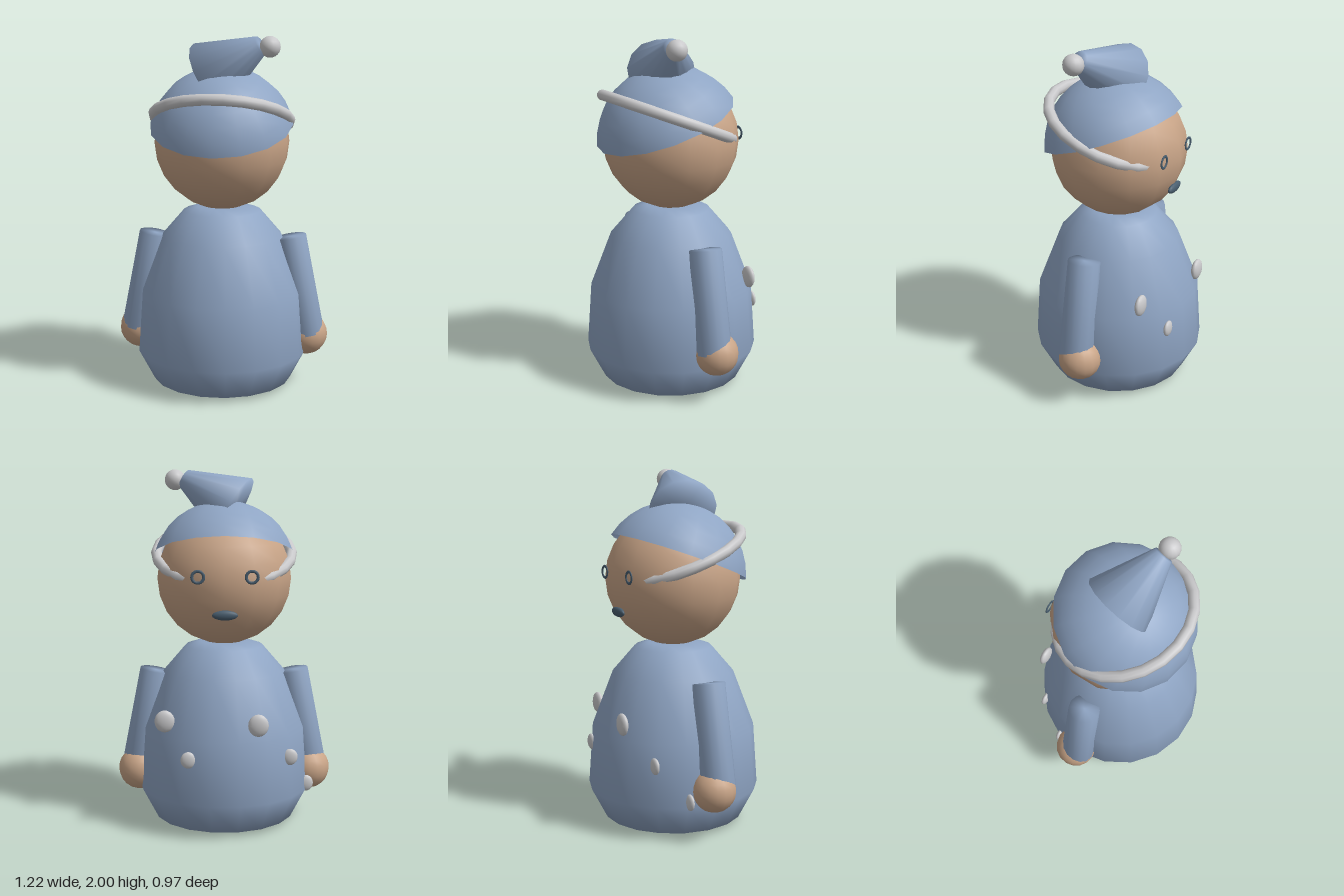
import * as THREE from 'three';

const material = (name, color, side = THREE.FrontSide) => {
  const m = new THREE.MeshStandardMaterial({ color, side });
  m.name = name;
  return m;
};

// Smooth turned solid from [radius, height] pairs, bottom to top
const turned = (profile, sides) =>
  new THREE.LatheGeometry(profile.map(([r, y]) => new THREE.Vector2(r, y)), sides);

export function createModel() {
  const model = new THREE.Group();
  model.name = 'nightcapFigure';
  const blue = material('dusty blue cloth', 0x8fa5c4, THREE.DoubleSide);
  const skin = material('tan skin', 0xc8a487);
  const grey = material('pale grey trim', 0xc9c9cb);
  const dark = material('dark slate', 0x485d6e);

  const add = (name, geometry, mat, pos = [0, 0, 0], scale = [1, 1, 1]) => {
    const mesh = new THREE.Mesh(geometry, mat);
    mesh.name = name;
    mesh.position.set(...pos);
    mesh.scale.set(...scale);
    model.add(mesh);
    return mesh;
  };
  // Tapered, softly shaded rod between two points
  const rod = (name, from, to, r0, r1, mat) => {
    const dir = new THREE.Vector3(...to).sub(new THREE.Vector3(...from));
    const len = dir.length();
    const mesh = add(name, turned([[0, 0], [r0, 0], [r1, len], [0, len]], 14), mat, from);
    mesh.quaternion.setFromUnitVectors(new THREE.Vector3(0, 1, 0), dir.normalize());
    return mesh;
  };

  // Robe: rounded bell
  const robe = add('robe', turned([[0, 0.026], [0.4, 0.026], [0.49, 0.2], [0.465, 0.55],
    [0.345, 0.865], [0.22, 1.01], [0.14, 1.035], [0, 1.04]], 18), blue);
  robe.rotation.y = Math.PI / 18;

  // Arms, hands, feet and eyes in mirrored pairs
  for (const [side, s] of [['left', 1], ['right', -1]]) {
    rod(side + 'Arm', [s * 0.494, 0.3, 0], [s * 0.392, 0.866, 0], 0.1, 0.09, blue);
    add(side + 'Hand', new THREE.SphereGeometry(0.122, 16, 12), skin, [s * 0.488, 0.29, -0.02]);
    add(side + 'Foot', new THREE.SphereGeometry(1, 18, 12), dark,
      [s * 0.18, 0.026, -0.09], [0.105, 0.026, 0.132]);
    add(side + 'Eye', new THREE.TorusGeometry(0.032, 0.008, 8, 18), dark,
      [s * 0.145, 1.437, -0.355], [1, 1, 0.5]);
  }

  // Head and mouth
  const head = add('head', new THREE.SphereGeometry(0.382, 14, 12), skin, [0, 1.402, 0]);
  head.rotation.y = Math.PI / 2;
  add('mouth', new THREE.SphereGeometry(1, 16, 10), dark, [0, 1.23, -0.348], [0.07, 0.027, 0.018]);

  // Cap: open dome tipped toward the front
  const cap = add('cap', new THREE.SphereGeometry(0.417, 16, 7, 0, Math.PI * 2, 0, 1.31), blue, [0, 1.41, 0]);
  cap.rotation.x = 0.365;

  // Band: ring tilted the other way, sinking into the head beside the eyes
  const band = add('capBand', new THREE.TorusGeometry(0.381, 0.031, 10, 22), grey, [0, 1.535, 0.022]);
  band.rotation.x = Math.PI / 2 - 0.373;

  // Drooping cap tip and pompom
  rod('capTip', [-0.062, 1.778, 0.025], [0.225, 1.945, 0.11], 0.195, 0.054, blue);
  add('pompom', new THREE.SphereGeometry(0.058, 16, 12), grey, [0.276, 1.937, 0.115]);

  // Fluffy spots on the robe, partly sunk into the cloth
  const spots = [[0.33, 0.64, -0.32, 1], [-0.18, 0.64, -0.42, 1],
    [0.2, 0.45, -0.427, 0.75], [-0.36, 0.435, -0.317, 0.75], [-0.463, 0.235, -0.158, 0.75]];
  spots.forEach(([x, y, z, k], i) => add('robeSpot' + (i + 1), new THREE.SphereGeometry(1, 14, 10), grey,
    [x, y, z], [0.056 * k, 0.062 * k, 0.025 * k]));

  return model;
}
